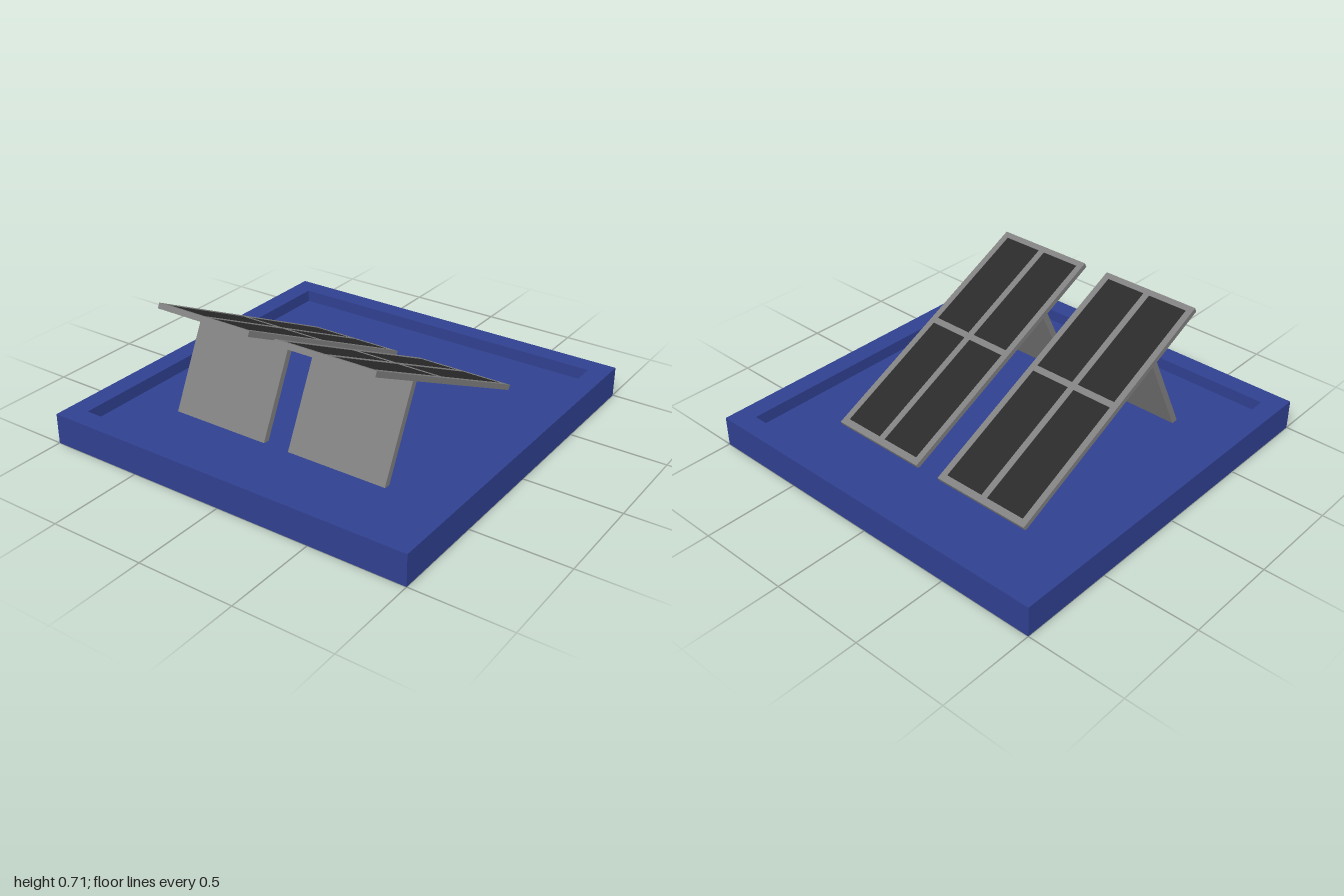
import * as THREE from 'three';

const blue = new THREE.MeshStandardMaterial({ color: 0x304090 });
const grey = new THREE.MeshStandardMaterial({ color: 0x808080 });
const dark = new THREE.MeshStandardMaterial({ color: 0x2a2a2a });

function add(parent, name, geometry, material, x = 0, y = 0, z = 0) {
  const mesh = new THREE.Mesh(geometry, material);
  mesh.name = name;
  mesh.position.set(x, y, z);
  parent.add(mesh);
  return mesh;
}

function rectangle(Type, x0, x1, y0, y1) {
  const r = new Type();
  r.moveTo(x0, y0);
  r.lineTo(x1, y0);
  r.lineTo(x1, y1);
  r.lineTo(x0, y1);
  r.closePath();
  return r;
}

// Flat plate with rectangular openings, lying in the xz plane, rising from y = 0
function plate(x0, x1, z0, z1, height, openings) {
  const shape = rectangle(THREE.Shape, x0, x1, z0, z1);
  for (const o of openings) shape.holes.push(rectangle(THREE.Path, ...o));
  return new THREE.ExtrudeGeometry(shape, { depth: height, bevelEnabled: false }).rotateX(-Math.PI / 2);
}

// Tilted panel with its strut; local origin is the middle of its upper top edge
function makePanel() {
  const panel = new THREE.Group();
  panel.name = 'solarPanel';
  const length = 1.373, width = 0.54, thick = 0.028, lip = 0.004;

  const cells = [];
  for (const [a, b] of [[0.032, 0.63], [0.664, 1.338]])
    for (const [c, d] of [[-0.237, -0.017], [0.017, 0.237]]) cells.push([a, b, c, d]);

  // Backing slab and raised grid frame
  const slab = thick - lip;
  add(panel, 'panelFrame', plate(0, length, -width / 2, width / 2, lip, cells), grey, 0, -lip, 0);
  add(panel, 'panelBack', new THREE.BoxGeometry(length, slab, width), grey, length / 2, -lip - slab / 2, 0);

  // Dark cells set into the frame
  for (const [a, b, c, d] of cells)
    add(panel, 'solarCell', new THREE.BoxGeometry(b - a, 0.004, d - c), dark,
      (a + b) / 2, -0.004, (c + d) / 2);

  // Strut at right angles to the panel
  const strut = 0.5;
  add(panel, 'supportPlate', new THREE.BoxGeometry(0.034, strut, width), grey, 0.352, -0.02 - strut / 2, 0);
  return panel;
}

export function createModel() {
  const model = new THREE.Group();
  model.name = 'solarPanelTray';

  // Square tray with a rim
  const inner = 0.895;
  add(model, 'trayRim', plate(-1, 1, -1, 1, 0.16, [[-inner, inner, -inner, inner]]), blue);
  add(model, 'trayFloor', new THREE.BoxGeometry(inner * 2, 0.095, inner * 2), blue, 0, 0.0475, 0);

  // Two matching panels side by side
  for (const z of [-0.348, 0.334]) {
    const panel = makePanel();
    panel.position.set(-0.637, 0.712, z);
    panel.rotation.z = -THREE.MathUtils.degToRad(25.8);
    model.add(panel);
  }
  return model;
}
